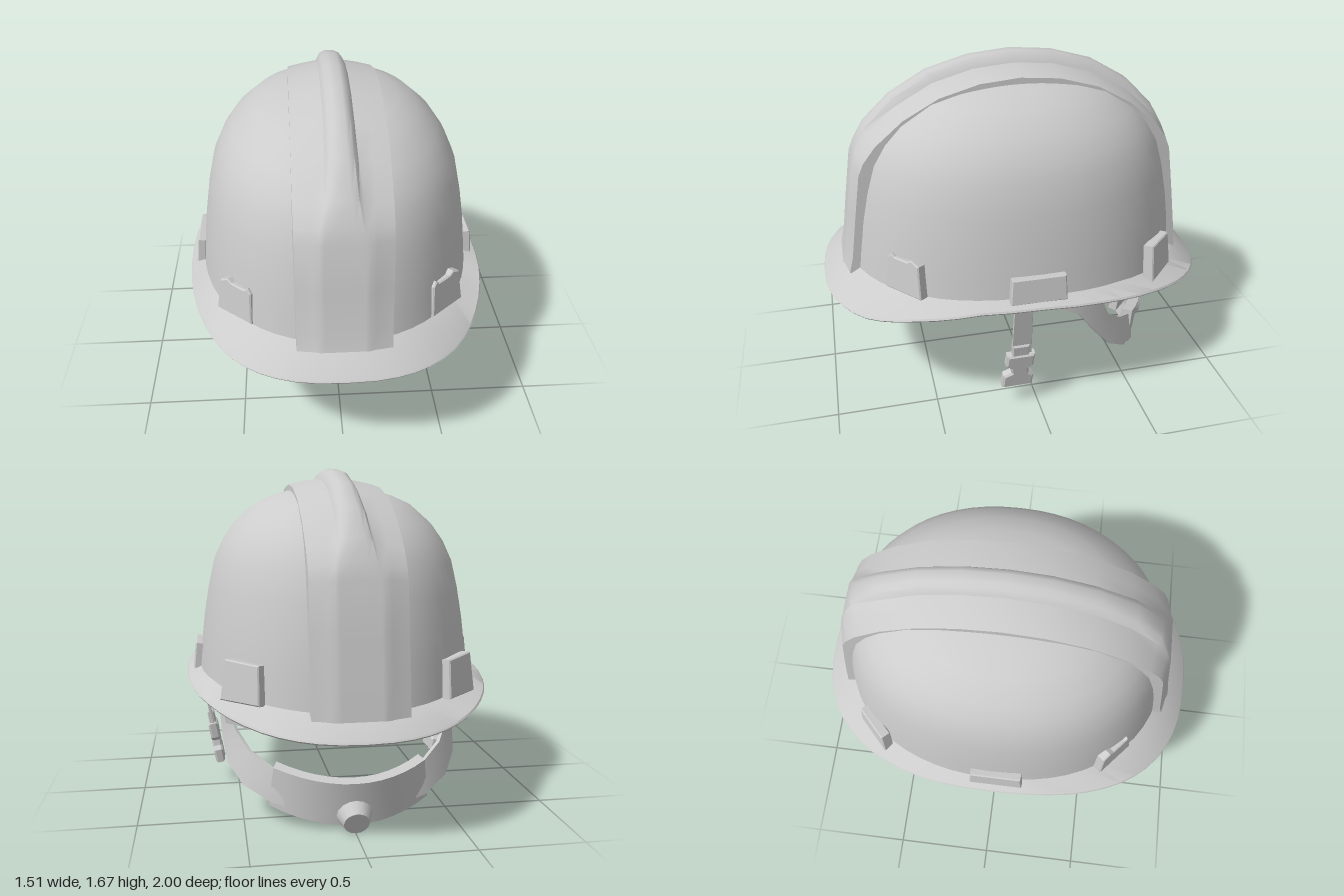
import * as THREE from 'three';
import { toCreasedNormals } from 'three/addons/utils/BufferGeometryUtils.js';

const V = (x, y, z) => new THREE.Vector3(x, y, z);

// Skins a list of equally long cross-sections
function loft(rings, closed, crease = 0.6) {
  const n = rings[0].length, pos = [], idx = [];
  rings.forEach(r => r.forEach(p => pos.push(p.x, p.y, p.z)));
  for (let i = 0; i < rings.length - 1; i++) {
    for (let j = 0; j < (closed ? n : n - 1); j++) {
      const k = (j + 1) % n, a = i * n + j, b = i * n + k, c = b + n, d = a + n;
      idx.push(a, d, c, a, c, b);
    }
  }
  const g = new THREE.BufferGeometry();
  g.setAttribute('position', new THREE.Float32BufferAttribute(pos, 3));
  g.setIndex(idx);
  return toCreasedNormals(g, crease);
}

// Linear lookup in a table of [key, value] pairs
function lookup(table, k) {
  if (k <= table[0][0]) return table[0][1];
  for (let i = 1; i < table.length; i++) {
    const [k0, v0] = table[i - 1], [k1, v1] = table[i];
    if (k <= k1) return v0 + (v1 - v0) * (k - k0) / (k1 - k0);
  }
  return table[table.length - 1][1];
}

const SEG = 56;
// Superellipse ring; y may depend on z, front and back may differ in fullness
function ring(a, b, y, nFront = 2.15, nBack = nFront) {
  return Array.from({ length: SEG }, (_, i) => {
    const t = i / SEG * Math.PI * 2, c = Math.cos(t), s = Math.sin(t), n = s > 0 ? nFront : nBack;
    const x = a * Math.sign(c) * Math.abs(c) ** (2 / n), z = b * Math.sign(s) * Math.abs(s) ** (2 / n);
    return V(x, y(z), z);
  });
}

// Dome and brim in one skin, inside and outside
function shellGeometry() {
  const dome = [[0.985, 0.8], [0.96, 0.95], [0.925, 1.1], [0.88, 1.24], [0.815, 1.34], [0.73, 1.425],
    [0.58, 1.52], [0.45, 1.562], [0.3, 1.594], [0.15, 1.613], [0.001, 1.62]];
  const edge = [[-1, 0.54], [-0.8, 0.59], [-0.6, 0.63], [-0.3, 0.665], [0, 0.685], [0.3, 0.69],
    [0.6, 0.65], [0.82, 0.605], [1, 0.597]];
  const base = [[-0.86, 0.625], [-0.4, 0.69], [0, 0.71], [0.5, 0.7], [0.86, 0.7]];
  const domeRing = (r, y, k, d) => ring(0.69 * r * k, 0.855 * r * k, () => y - d);
  const brim = (a, b, d) => ring(a, b, z => lookup(edge, z) - d, 2.5, 2.3);
  const foot = (k, d) => ring(0.69 * k, 0.855 * k, z => lookup(base, z) - d);
  return loft([
    ...dome.slice().reverse().map(([r, y]) => domeRing(r, y, 0.97, 0.02)),
    foot(0.97, 0.02), brim(0.752, 0.995, 0.016), brim(0.757, 1, 0.008), brim(0.752, 0.995, 0),
    foot(1, 0), ...dome.map(([r, y]) => domeRing(r, y, 1, 0)),
  ], true);
}

// Raised centre band running front to back, with a ridge that fades at both ends
function bandGeometry() {
  const half = [[0.9, 0.68, 0], [0.88, 0.76, 0], [0.85, 0.97, 0], [0.815, 1.2, 0], [0.785, 1.27, 0.008],
    [0.72, 1.355, 0.03], [0.58, 1.475, 0.045], [0.4, 1.575, 0.05], [0.2, 1.632, 0.05], [0, 1.65, 0.05]];
  const back = half.slice(0, -1).reverse().map(([z, y, h]) => [-z, y < 0.7 ? 0.6 : y, h]);
  const path = [...half, ...back];
  const rings = path.map(([z, y, h], i) => {
    const p = path[Math.max(i - 1, 0)], q = path[Math.min(i + 1, path.length - 1)];
    const n = new THREE.Vector2(q[1] - p[1], p[0] - q[0]).normalize();
    const w = 0.05 + 0.8 * (0.05 - h); // ridge spreads as it sinks
    const side = [[0.225, -0.13], [0.22, -0.03], [0.14, -0.012], [w + 0.02, 0], [w, h * 0.75], [w * 0.5, h]];
    const section = [...side.map(([x, o]) => [-x, o]), ...side.slice().reverse()];
    return section.map(([x, o]) => V(x, y + n.x * -0 + n.y * o, z + n.x * o));
  });
  return loft(rings, false, 0.7);
}

// Headband that drops at the back to the nape pad: lower and upper edge of one half
function headbandGeometry() {
  const half = [
    [V(0, 0.6, 0.71), V(0, 0.76, 0.71)], [V(0.2, 0.6, 0.685), V(0.2, 0.76, 0.685)],
    [V(0.38, 0.595, 0.58), V(0.38, 0.75, 0.58)], [V(0.52, 0.59, 0.37), V(0.52, 0.74, 0.37)],
    [V(0.59, 0.58, 0.1), V(0.59, 0.74, 0.1)], [V(0.6, 0.56, -0.1), V(0.6, 0.74, -0.14)],
    [V(0.6, 0.51, -0.21), V(0.59, 0.69, -0.29)], [V(0.59, 0.39, -0.3), V(0.56, 0.56, -0.34)],
    [V(0.57, 0.28, -0.39), V(0.53, 0.44, -0.39)], [V(0.5, 0.2, -0.5), V(0.47, 0.36, -0.48)],
    [V(0.37, 0.14, -0.6), V(0.37, 0.3, -0.57)], [V(0.18, 0.1, -0.66), V(0.18, 0.25, -0.66)],
    [V(0, 0.08, -0.69), V(0, 0.24, -0.69)]];
  const mirror = half.slice(0, -1).reverse().map(r => r.map(p => V(-p.x, p.y, p.z)));
  const inner = p => V(p.x * 0.975, p.y, p.z * 0.975);
  return loft([...half, ...mirror].map(([l, u]) => [l, u, inner(u), inner(l)]), true);
}

// Thick curved pad behind the neck
function napeGeometry() {
  const rings = [];
  for (let i = -6; i <= 6; i++) {
    const t = i / 6, s = t * t, x = 0.375 * t;
    const b = V(x * 1.03, 0.05 + 0.07 * s, -0.7 + 0.13 * s), u = V(x * 0.97, 0.265 + 0.045 * s, -0.745 + 0.15 * s);
    const inset = 0.055;
    rings.push([b, u, V(u.x * 0.95, u.y + 0.012, u.z + inset), V(b.x * 0.95, b.y + 0.02, b.z + inset)]);
  }
  const cap = r => { // closes an end
    const c = r.reduce((m, p) => m.add(p), V(0, 0, 0)).multiplyScalar(0.25);
    return r.map(() => c.clone());
  };
  return loft([cap(rings[0]), ...rings, cap(rings[rings.length - 1])], true);
}

// Flat outline given as x, y pairs, extruded and centred in depth
function plate(points, depth, bevel = 0.006) {
  const g = new THREE.ExtrudeGeometry(new THREE.Shape(points.map(p => new THREE.Vector2(...p))), {
    depth: depth - 2 * bevel, bevelEnabled: true, bevelSize: bevel, bevelThickness: bevel, bevelOffset: -bevel, bevelSegments: 1 });
  return g.translate(0, 0, bevel - depth / 2);
}

export function createModel() {
  const grey = new THREE.MeshStandardMaterial({ color: 0xcccccc, side: THREE.DoubleSide });
  grey.name = 'light grey plastic';
  const model = new THREE.Group();
  model.name = 'hardHat';
  const add = (name, geometry, parent = model) => {
    const m = new THREE.Mesh(geometry, grey);
    m.name = name;
    parent.add(m);
    return m;
  };

  add('shellAndBrim', shellGeometry());
  add('centreBand', bandGeometry());
  add('headband', headbandGeometry());
  add('napePad', napeGeometry());

  // Adjusting knob on the nape pad
  const knob = add('adjustingKnob', new THREE.CylinderGeometry(0.06, 0.085, 0.06, 16));
  knob.position.set(0, 0.095, -0.74);
  knob.rotation.x = -Math.PI / 2 - 0.4;

  for (const s of [1, -1]) {
    const half = new THREE.Group();
    half.name = s > 0 ? 'leftFittings' : 'rightFittings';
    half.scale.x = s;
    model.add(half);
    const place = (name, g, x, y, z, turn, lean) => {
      const m = add(name, g, half);
      m.position.set(x, y, z);
      m.rotation.set(lean, turn, 0, 'YXZ');
    };

    // Slot covers on the outside of the shell
    const notched = [[-0.11, -0.09], [0.11, -0.09], [0.09, 0.075], [0.045, 0.095], [0.02, 0.08], [-0.06, 0.08], [-0.08, 0.095], [-0.1, 0.07]];
    const plain = [[-0.115, -0.095], [0.115, -0.095], [0.1, 0.085], [-0.1, 0.095]];
    const low = [[-0.14, -0.065], [0.135, -0.065], [0.13, 0.065], [-0.13, 0.065]];
    place('frontSlotCover', plate(notched, 0.055), 0.487, 0.79, 0.61, 0.72, -0.1);
    place('sideSlotCover', plate(low, 0.045), 0.694, 0.755, 0.025, Math.PI / 2, -0.1);
    place('rearSlotCover', plate(plain, 0.055), 0.495, 0.735, -0.64, Math.PI - 0.76, -0.1);

    // Hanging tabs inside the rim
    for (let i = -1; i <= 1; i++) {
      place('rearTab', new THREE.BoxGeometry(0.104, 0.17 - 0.01 * i, 0.04),
        0.455 + 0.078 * i, 0.565, -0.52 + 0.078 * i, Math.PI * 0.75, 0.15);
    }
    place('sideTab', new THREE.BoxGeometry(0.29, 0.07, 0.03), 0.61, 0.63, 0.22, Math.PI / 2 - 0.12, 0);

    // Chin strap with its buckle
    const strap = new THREE.Group();
    strap.name = 'chinStrap';
    strap.position.set(0.69, 0.66, 0);
    strap.rotation.z = -0.18;
    half.add(strap);
    const sideways = g => g.rotateY(-Math.PI / 2);
    add('strap', sideways(plate([[0.04, -0.37], [0.14, -0.37], [0.14, 0.02], [0.05, 0.02]], 0.014, 0.002)), strap);
    add('strapLoop', sideways(plate([[0.055, -0.32], [0.14, -0.32], [0.14, -0.25], [0.055, -0.25]], 0.035)), strap);
    add('buckle', sideways(plate([[0.03, -0.53], [0.185, -0.53], [0.18, -0.45], [0.14, -0.43], [0.145, -0.4], [0.17, -0.38],
      [0.165, -0.31], [0.025, -0.31], [0.03, -0.39], [0.055, -0.41], [0.05, -0.44], [0.025, -0.46]], 0.05, 0.01)), strap);
  }
  return model;
}
